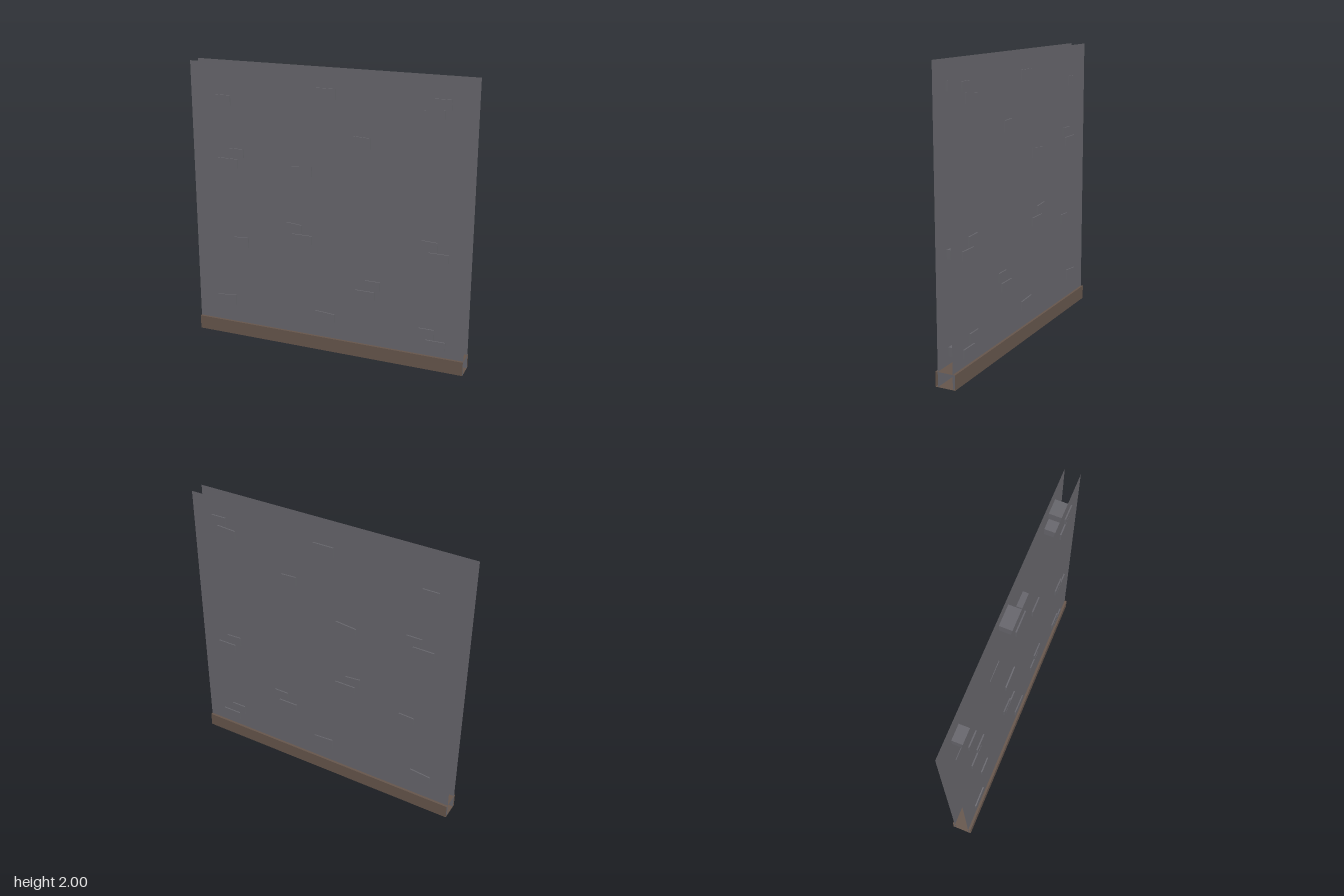
import * as THREE from 'three';

const WALL_Z = 0.053, TRIM_Z = 0.07, BRICK_Z = 0.062, TRIM_H = 0.1;

export function createModel() {
  const model = new THREE.Group();
  model.name = 'wallPanel';
  const plaster = new THREE.MeshStandardMaterial({ color: 0x66656b, side: THREE.DoubleSide });
  plaster.name = 'wall grey';
  const wood = new THREE.MeshStandardMaterial({ color: 0x65554b, side: THREE.DoubleSide });
  wood.name = 'trim brown';

  const add = (name, geometry, material) => {
    const mesh = new THREE.Mesh(geometry, material);
    mesh.name = name;
    model.add(mesh);
    return mesh;
  };

  // Two thin wall sheets and the baseboard sides, mirrored front to back
  for (const [side, s] of [['Front', 1], ['Back', -1]]) {
    const turn = s > 0 ? 0 : Math.PI;
    const wall = add('wall' + side, new THREE.PlaneGeometry(2, 2), plaster);
    wall.position.set(0, 1, s * WALL_Z);
    wall.rotation.y = turn;
    const trim = add('baseboard' + side, new THREE.PlaneGeometry(2, TRIM_H), wood);
    trim.position.set(0, TRIM_H / 2, s * TRIM_Z);
    trim.rotation.y = turn;
  }

  // Baseboard top and underside; the ends stay open
  for (const [name, y, s] of [['baseboardTop', TRIM_H, -1], ['baseboardBottom', 0, 1]]) {
    const cap = add(name, new THREE.PlaneGeometry(2, 2 * TRIM_Z), wood);
    cap.position.y = y;
    cap.rotation.x = s * Math.PI / 2;
  }

  // Bricks pass through both sheets: left, right, then heights
  // top left, top right, bottom right, bottom left
  const bricks = [
    [-0.81, -0.70, 1.78, 1.78, 1.71, 1.71],
    [-0.08, 0.07, 1.88, 1.88, 1.81, 1.81],
    [0.74, 0.85, 1.87, 1.87, 1.805, 1.805],
    [0.67, 0.81, 1.79, 1.80, 1.735, 1.725],
    [0.20, 0.315, 1.58, 1.575, 1.50, 1.515],
    [-0.72, -0.61, 1.41, 1.41, 1.35, 1.35],
    [-0.81, -0.66, 1.335, 1.335, 1.27, 1.27],
    [-0.25, -0.10, 1.325, 1.34, 1.27, 1.27],
    [-0.29, -0.18, 0.925, 0.915, 0.855, 0.855],
    [-0.25, -0.10, 0.845, 0.845, 0.785, 0.785],
    [-0.70, -0.59, 0.76, 0.765, 0.69, 0.70],
    [0.68, 0.79, 0.925, 0.92, 0.855, 0.855],
    [0.73, 0.87, 0.845, 0.845, 0.785, 0.785],
    [0.29, 0.40, 0.58, 0.58, 0.515, 0.515],
    [0.22, 0.36, 0.50, 0.50, 0.44, 0.44],
    [-0.85, -0.70, 0.295, 0.31, 0.235, 0.235],
    [-0.08, 0.07, 0.295, 0.285, 0.225, 0.215],
    [0.68, 0.79, 0.295, 0.295, 0.225, 0.225],
    [0.73, 0.87, 0.215, 0.215, 0.155, 0.155],
  ];
  bricks.forEach(([l, r, tl, tr, br, bl], i) => {
    const shape = new THREE.Shape([[l, bl], [r, br], [r, tr], [l, tl]]
      .map(([x, y]) => new THREE.Vector2(x, y)));
    const geometry = new THREE.ExtrudeGeometry(shape, { depth: 2 * BRICK_Z, bevelEnabled: false });
    geometry.translate(0, 0, -BRICK_Z);
    add('brick' + (i + 1), geometry, plaster);
  });

  return model;
}
